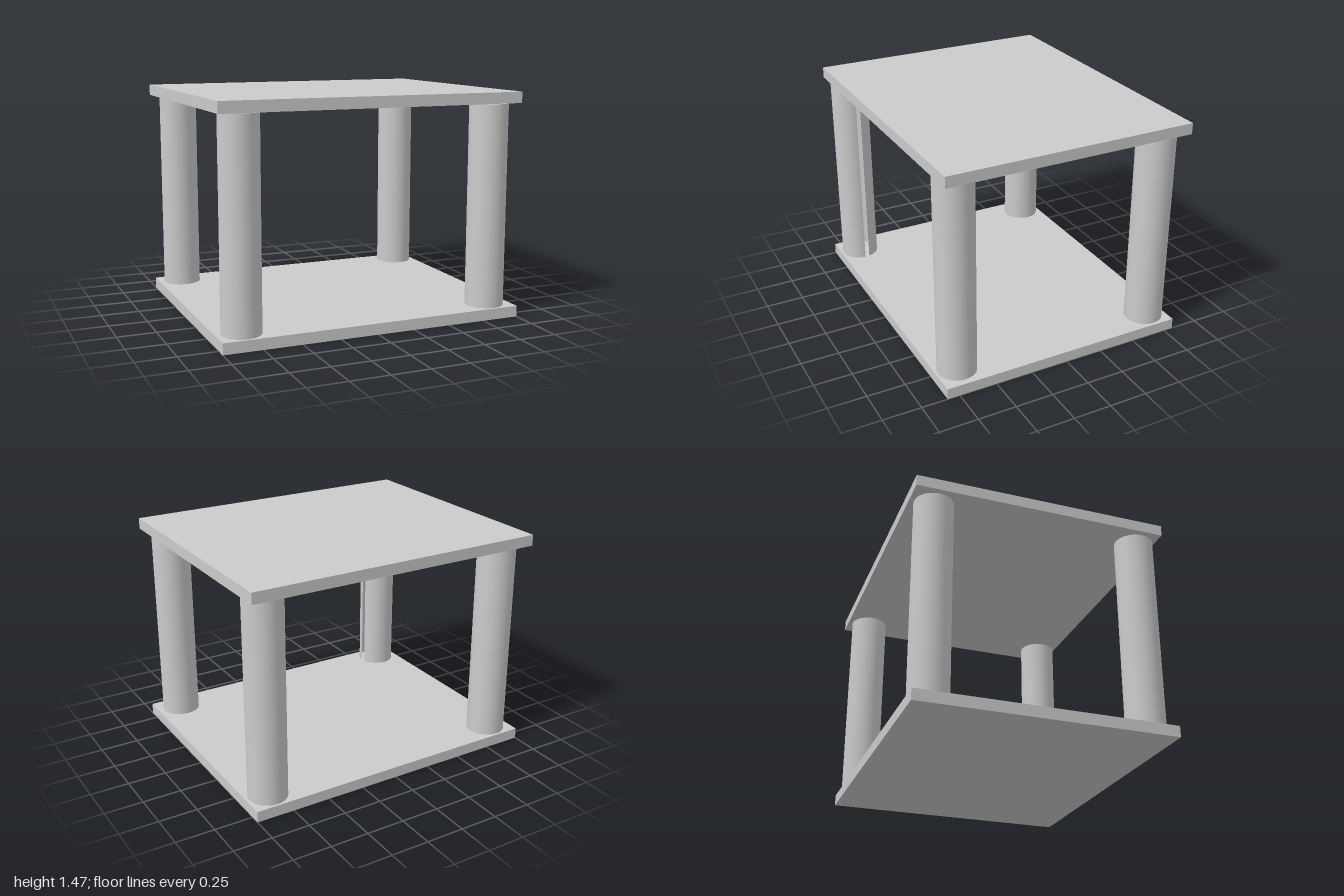
import * as THREE from 'three';

export function createModel() {
  const model = new THREE.Group();
  const grey = new THREE.MeshStandardMaterial({ color: 0xcccccc });
  const greyOpen = new THREE.MeshStandardMaterial({ color: 0xcccccc, side: THREE.DoubleSide });

  const add = (name, geometry, material, x, y, z) => {
    const mesh = new THREE.Mesh(geometry, material);
    mesh.name = name;
    mesh.position.set(x, y, z);
    model.add(mesh);
  };

  // Two equal boards, the upper one set slightly back
  const board = new THREE.BoxGeometry(2, 0.072, 1.645);
  add('bottomBoard', board, grey, 0, 0.036, 0.0075);
  add('topBoard', board, grey, 0, 1.431, -0.0075);

  // Round posts between the boards
  const radius = 0.125, bottom = 0.072, top = 1.392;
  const height = top - bottom, middle = (top + bottom) / 2;
  const post = new THREE.CylinderGeometry(radius, radius, height, 48);
  add('frontLeftPost', post, grey, 0.835, middle, 0.69);
  add('backLeftPost', post, grey, 0.855, middle, -0.675);
  add('backRightPost', post, grey, -0.84, middle, -0.675);

  // Hollow post with a narrow slit along its inner side
  const deg = Math.PI / 180;
  const slitPost = new THREE.CylinderGeometry(
    radius, radius, height, 48, 1, true, 102 * deg, 346 * deg);
  add('frontRightSlitPost', slitPost, greyOpen, -0.84, middle, 0.69);

  return model;
}
